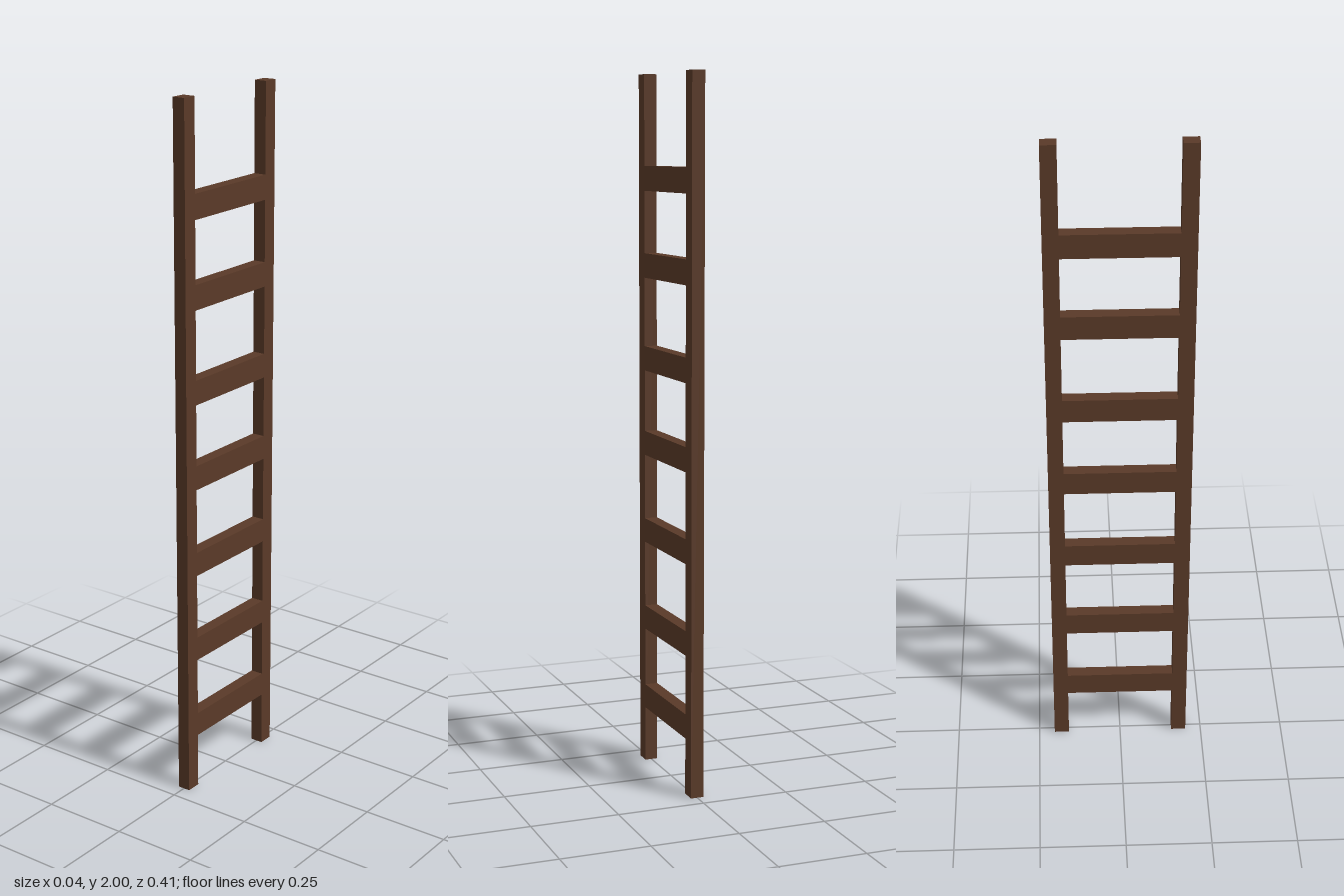
import * as THREE from 'three';

export function createModel() {
  const ladder = new THREE.Group();
  ladder.name = 'ladder';
  const wood = new THREE.MeshStandardMaterial({ color: 0x5a3a28 });
  const thickness = 0.037, railWidth = 0.044, outer = 0.203;
  const inner = outer - railWidth;

  const addBoard = (name, height, width, y, z) => {
    const board = new THREE.Mesh(new THREE.BoxGeometry(thickness, height, width), wood);
    board.name = name;
    board.position.set(0, y, z);
    ladder.add(board);
  };

  // Two upright side rails
  addBoard('frontRail', 2, railWidth, 1, outer - railWidth / 2);
  addBoard('backRail', 2, railWidth, 1, -outer + railWidth / 2);

  // Flat rungs, flush with the rails and slightly unevenly spaced
  [0.196, 0.435, 0.695, 0.952, 1.198, 1.464, 1.71].forEach((y, i) =>
    addBoard(`rung${i + 1}`, 0.07, inner * 2, y, 0));

  return ladder;
}
